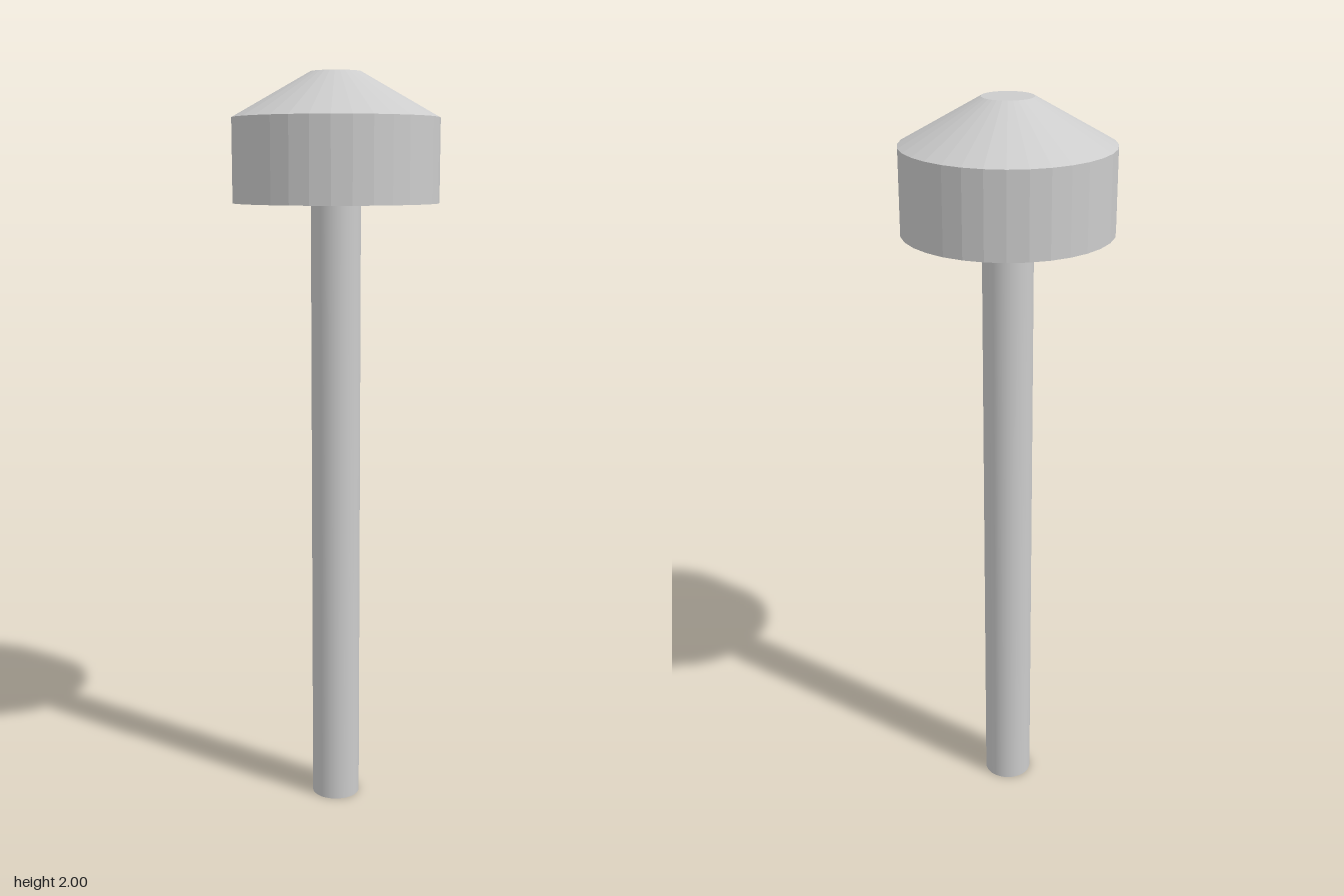
import * as THREE from 'three';

export function createModel() {
  const group = new THREE.Group();
  const smooth = new THREE.MeshStandardMaterial({ color: 0xcccccc });
  const faceted = new THREE.MeshStandardMaterial({ color: 0xcccccc, flatShading: true });

  const shaftRadius = 0.066, headRadius = 0.272;
  const headBottom = 1.666, shoulder = 1.884, top = 2;

  // Slim round shaft, seated just inside the head
  const shaftHeight = headBottom + 0.02;
  const shaft = new THREE.Mesh(
    new THREE.CylinderGeometry(shaftRadius, shaftRadius, shaftHeight, 32), smooth);
  shaft.position.y = shaftHeight / 2;
  shaft.name = 'shaft';
  group.add(shaft);

  // Faceted head: flat underside, straight wall, sloped shoulder, small flat top
  const profile = [
    [0, headBottom], [headRadius, headBottom], [headRadius, shoulder],
    [shaftRadius, top], [0, top],
  ].map(([r, y]) => new THREE.Vector2(r, y));
  const head = new THREE.Mesh(new THREE.LatheGeometry(profile, 32), faceted);
  head.name = 'head';
  group.add(head);

  return group;
}
